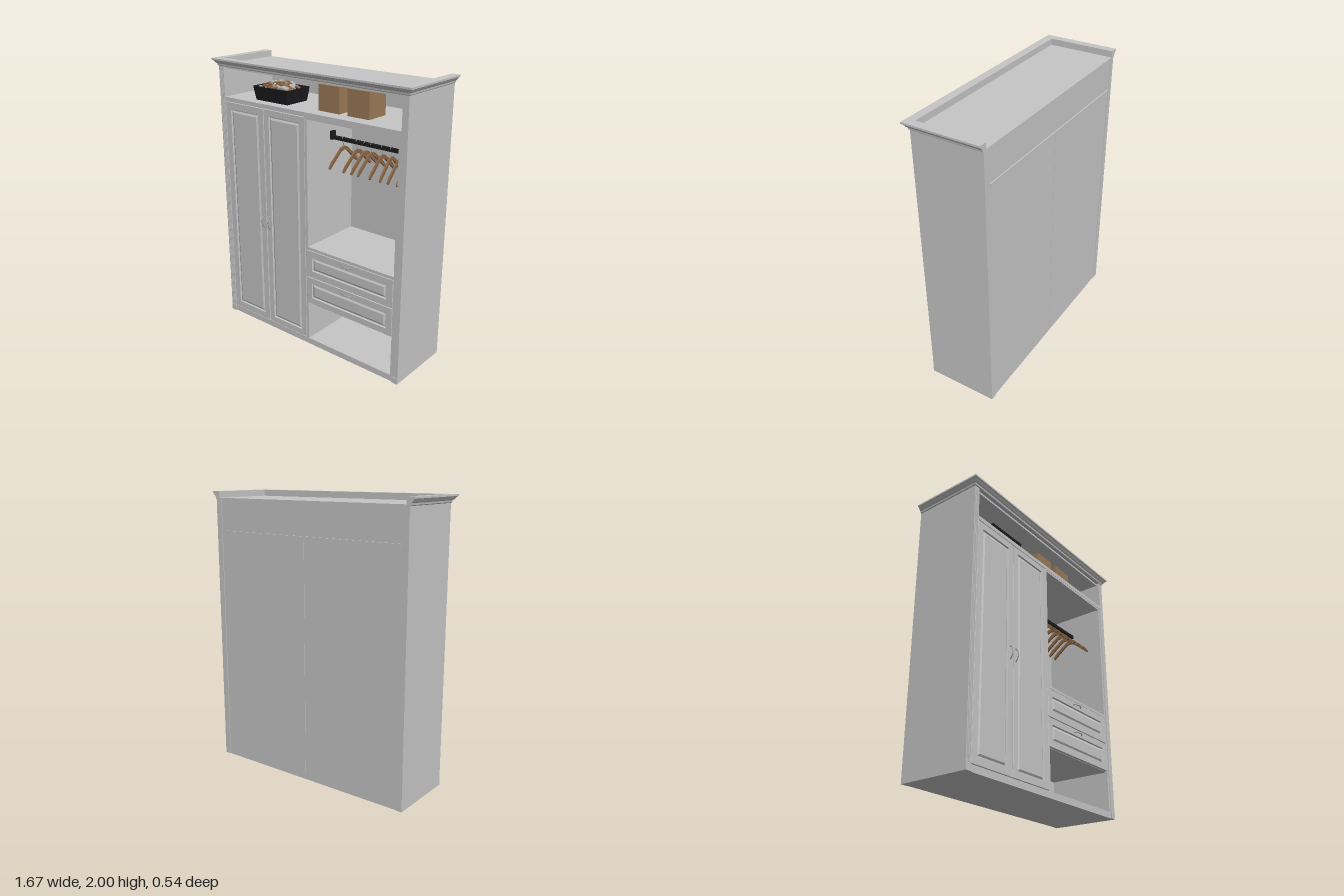
import * as THREE from 'three';

const mat = (name, color, side = THREE.FrontSide) => {
  const m = new THREE.MeshStandardMaterial({ color, side });
  m.name = name;
  return m;
};

// Flat-faced skin over a list of rings with equal point counts
function skin(rings, closed, extra = []) {
  const pos = [];
  const tri = (a, b, c) => pos.push(...a, ...b, ...c);
  for (let i = 0; i < rings.length - 1; i++) {
    const n = rings[i].length;
    for (let k = 0; k < (closed ? n : n - 1); k++) {
      const j = (k + 1) % n;
      tri(rings[i][k], rings[i][j], rings[i + 1][j]);
      tri(rings[i][k], rings[i + 1][j], rings[i + 1][k]);
    }
  }
  extra.forEach((t) => tri(...t));
  const g = new THREE.BufferGeometry();
  g.setAttribute('position', new THREE.Float32BufferAttribute(pos, 3));
  g.computeVertexNormals();
  return g;
}

// Rectangle facing +z, stepped by [inset, z] pairs and capped at the last one
function panelGeometry(w, h, steps) {
  const rings = steps.map(([s, z]) => {
    const x = w / 2 - s, y = h / 2 - s;
    return [[-x, -y, z], [x, -y, z], [x, y, z], [-x, y, z]];
  });
  const [a, b, c, d] = rings[rings.length - 1];
  return skin(rings, true, [[a, b, c], [a, c, d]]);
}

// Moulded cornice around the front and both sides, open at the back
function corniceGeometry() {
  const profile = [[-0.025, 1.945], [0, 1.945], [0.006, 1.95], [0.008, 1.962], [0.016, 1.968],
    [0.026, 1.984], [0.035, 1.988], [0.035, 2], [-0.025, 2]];
  const ring = ([o, y]) => [[-0.8 - o, y, -0.27], [-0.8 - o, y, 0.235 + o], [0.8 + o, y, 0.235 + o], [0.8 + o, y, -0.27]];
  const rings = [...profile, profile[0]].map(ring);
  const caps = [], last = profile.length - 1;
  for (let k = 0; k < last - 1; k++) {
    caps.push([rings[last][0], rings[k][0], rings[k + 1][0]]);
    caps.push([rings[last][3], rings[k + 1][3], rings[k][3]]);
  }
  return skin(rings, false, caps);
}

export function createModel() {
  const root = new THREE.Group();
  root.name = 'wardrobe';
  const paint = mat('grey paint', 0xc6c6c6);
  const black = mat('black', 0x1c1c1e);
  const card = mat('cardboard', 0x9c7a58);
  const wood = mat('hanger wood', 0x8a6544);
  const cloth = mat('pale cloth', 0xb4b4b2);
  const metal = mat('handle metal', 0xa6a6a6);

  const add = (name, geo, m, x = 0, y = 0, z = 0, parent = root) => {
    const mesh = new THREE.Mesh(geo, m);
    mesh.name = name;
    mesh.position.set(x, y, z);
    parent.add(mesh);
    return mesh;
  };
  // Box given by its limits
  const box = (name, m, x0, x1, y0, y1, z0, z1) =>
    add(name, new THREE.BoxGeometry(x1 - x0, y1 - y0, z1 - z0), m, (x0 + x1) / 2, (y0 + y1) / 2, (z0 + z1) / 2);

  // Carcass
  for (const s of [-1, 1]) {
    const [a, b] = s < 0 ? [-0.8, -0.755] : [0.755, 0.8];
    box('sidePanel', paint, a, b, 0, 1.95, -0.27, 0.235);
    box('postFoot', paint, a, b, 0, 0.045, 0.235, 0.238);
  }
  for (let i = 0; i < 3; i++) box('postFlute', paint, -0.792 + i * 0.012, -0.786 + i * 0.012, 0.05, 1.91, 0.235, 0.239);
  box('base', paint, -0.755, 0.755, 0, 0.045, -0.265, 0.23);
  box('upperShelf', paint, -0.755, 0.755, 1.7, 1.73, -0.265, 0.232);
  box('shelfBackEdge', paint, -0.75, 0.75, 1.705, 1.725, -0.273, -0.26);
  box('topPanel', paint, -0.775, 0.775, 1.93, 1.955, -0.268, 0.215);
  box('backPanelTop', paint, -0.755, 0.755, 1.73, 1.935, -0.265, -0.255);
  box('backPanelRight', paint, -0.755, -0.002, 0.045, 1.7, -0.265, -0.255);
  box('backPanelLeft', paint, 0.002, 0.755, 0.045, 1.7, -0.265, -0.255);
  box('divider', paint, -0.005, 0.015, 0.045, 1.7, -0.262, 0.23);
  box('bayStile', paint, 0.737, 0.756, 0.045, 1.7, 0.21, 0.23);
  box('bayRail', paint, 0.015, 0.737, 1.685, 1.7, 0.21, 0.23);
  add('cornice', corniceGeometry(), paint);

  // Framed doors and drawer fronts with raised fields
  const front = (name, x0, x1, y0, y1, frame) => add(name, panelGeometry(x1 - x0, y1 - y0, [
    [0, -0.025], [0, -0.002], [0.002, 0], [frame, 0], [frame + 0.005, -0.009],
    [frame + 0.01, -0.009], [frame + 0.022, -0.002], [frame + 0.026, -0.002],
  ]), paint, (x0 + x1) / 2, (y0 + y1) / 2, 0.232);
  front('doorRight', -0.752, -0.38, 0.048, 1.697, 0.05);
  front('doorLeft', -0.376, -0.005, 0.048, 1.697, 0.046);
  box('drawerCase', paint, 0.01, 0.756, 0.34, 0.76, -0.26, 0.212);
  box('drawerTop', paint, 0.01, 0.756, 0.757, 0.778, -0.26, 0.23);
  front('drawerUpper', 0.002, 0.735, 0.552, 0.755, 0.05);
  front('drawerLower', 0.002, 0.735, 0.342, 0.548, 0.046);

  // Bow handles with a small plate at each end
  const handle = (x, y, vertical) => {
    const g = new THREE.Group();
    g.name = 'handle';
    const curve = new THREE.CatmullRomCurve3([[-0.045, 0], [-0.028, 0.014], [0, 0.021], [0.028, 0.014], [0.045, 0]]
      .map(([u, z]) => new THREE.Vector3(u, 0, z)));
    add('bow', new THREE.TubeGeometry(curve, 16, 0.004, 8), metal, 0, 0, 0, g);
    for (const s of [-1, 1]) add('handlePlate', new THREE.SphereGeometry(0.008, 10, 8), metal, s * 0.043, 0, 0.001, g).scale.set(1.2, 0.8, 0.5);
    g.position.set(x, y, 0.232);
    if (vertical) g.rotation.z = Math.PI / 2;
    else g.scale.z = 0.9;
    root.add(g);
  };
  handle(-0.407, 0.865, true);
  handle(-0.35, 0.865, true);
  handle(0.36, 0.73, false);
  handle(0.36, 0.524, false);

  // Clothes rail
  box('rail', black, 0.02, 0.737, 1.503, 1.527, -0.042, -0.018);
  box('railBracket', black, 0.015, 0.033, 1.5, 1.56, -0.05, -0.01);

  // Hangers
  const shape = new THREE.Shape([[-0.155, -0.125], [-0.145, -0.135], [-0.03, -0.035], [0, -0.026], [0.03, -0.035], [0.145, -0.135],
    [0.155, -0.125], [0.13, -0.09], [0.03, -0.008], [0, 0], [-0.03, -0.008], [-0.13, -0.09]].map((p) => new THREE.Vector2(...p)));
  const hangerGeo = new THREE.ExtrudeGeometry(shape, { depth: 0.012, bevelEnabled: false }).translate(0, 0, -0.006);
  const hookGeo = new THREE.TubeGeometry(new THREE.CatmullRomCurve3(
    [[0, -0.005], [0, 0.025], [0.02, 0.045], [0.012, 0.064], [-0.008, 0.066], [-0.018, 0.052]]
      .map(([x, y]) => new THREE.Vector3(x, y, 0))), 16, 0.002, 6);
  const hangers = [[0.117, 0], [0.235, 0], [0.3, 0], [0.355, 0], [0.44, 0.06], [0.51, 0.13], [0.575, 0.1], [0.64, 0.13], [0.705, 0.1]];
  for (const [x, yaw] of hangers) {
    const g = new THREE.Group();
    g.name = 'hanger';
    add('hangerArms', hangerGeo, wood, 0, 0, 0, g);
    add('hangerHook', hookGeo, metal, 0, 0, 0, g);
    g.position.set(x, 1.47, -0.03);
    g.rotation.y = Math.PI / 2 + yaw;
    root.add(g);
  }

  // Storage boxes on the upper shelf
  box('storageBox', card, 0.035, 0.212, 1.73, 1.905, -0.04, 0.135);
  box('storageBox', card, 0.275, 0.447, 1.73, 1.905, -0.04, 0.135);

  // Open tapered basket
  const basket = add('basket', panelGeometry(0.32, 0.23, [[0.014, 0], [0, 0.098], [0.01, 0.098], [0.022, 0.015]]), black, -0.37, 1.73, 0.055);
  basket.rotation.x = -Math.PI / 2;

  // Rolled scarves heaped in the basket
  let seed = 7;
  const rnd = () => (seed = (seed * 16807) % 2147483647) / 2147483647;
  const ringGeo = new THREE.TorusGeometry(0.035, 0.011, 8, 18);
  add('basketFill', new THREE.SphereGeometry(1, 20, 10), wood, -0.37, 1.79, 0.055).scale.set(0.125, 0.06, 0.085);
  for (let i = 0; i < 24; i++) {
    const u = rnd() * 2 - 1, v = rnd() * 2 - 1;
    const ring = add('scarfRoll', ringGeo, i % 2 ? wood : cloth,
      -0.37 + u * 0.11, 1.84 - 0.022 * (u * u + v * v), 0.055 + v * 0.065);
    ring.rotation.set(Math.PI / 2 + (rnd() - 0.5) * 1.1, (rnd() - 0.5) * 1.1, rnd() * 3);
  }
  return root;
}
